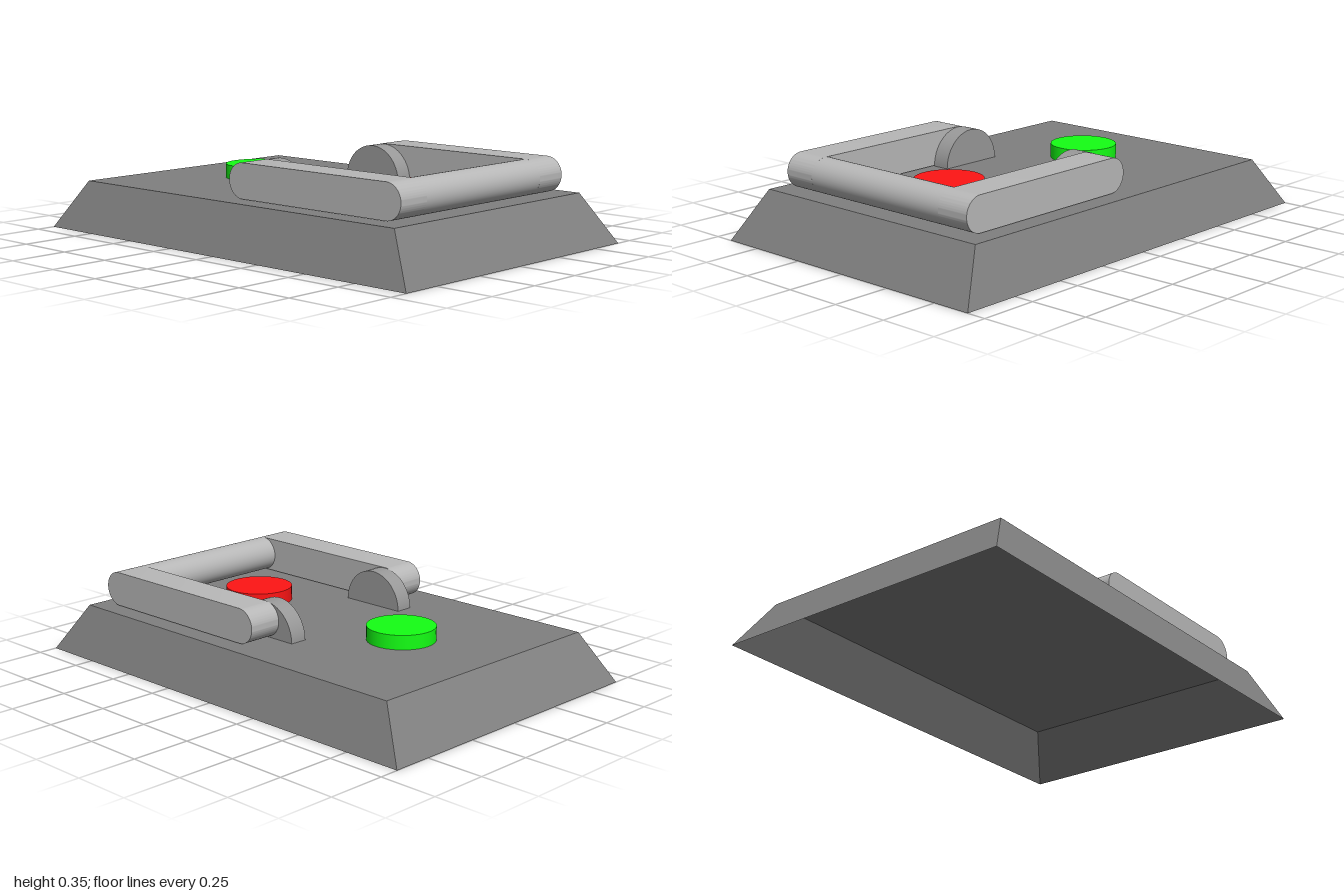
import * as THREE from 'three';
import { mergeGeometries, toCreasedNormals } from 'three/addons/utils/BufferGeometryUtils.js';

const TOP = 0.205;       // height of the base plate
const R = 0.073;         // handle bar radius
const BAR_Y = 0.282;     // handle axis height
const BAR_Z = 0.757;     // grip position
const ARM_IN = 0.353, ARM_OUT = 0.5;

function addMesh(parent, name, geometry, color, side = THREE.FrontSide) {
  const mesh = new THREE.Mesh(geometry, new THREE.MeshStandardMaterial({ color, side }));
  mesh.name = name;
  parent.add(mesh);
  return mesh;
}

// Extrudes a (z, y) profile along x, centred on x = 0
function sideExtrude(shape, width) {
  const geo = new THREE.ExtrudeGeometry(shape, { depth: width, bevelEnabled: false, curveSegments: 24 });
  geo.translate(0, 0, -width / 2).rotateY(-Math.PI / 2);
  return toCreasedNormals(geo, 0.6);
}

export function createModel() {
  const group = new THREE.Group();

  // Base: tapered shell with a flat top, open underneath
  const walls = new THREE.CylinderGeometry(0.865 * Math.SQRT2, Math.SQRT2, TOP, 4, 1, true);
  walls.rotateY(Math.PI / 4).scale(0.667, 1, 1).translate(0, TOP / 2, 0);
  const plate = new THREE.PlaneGeometry(2 * 0.577, 2 * 0.865);
  plate.rotateX(-Math.PI / 2).translate(0, TOP, 0);
  const base = toCreasedNormals(mergeGeometries([walls, plate]), 0.3);
  addMesh(group, 'base', base, 0x808080, THREE.DoubleSide);

  // Push buttons
  for (const [name, color, z] of [['redButton', 0xff1414, 0.415], ['greenButton', 0x14ff14, -0.415]]) {
    const button = addMesh(group, name, new THREE.CylinderGeometry(0.142, 0.142, 0.06, 40), color);
    button.position.set(0, TOP + 0.031, z);
  }

  // Half-round pivot lugs
  const lugShape = new THREE.Shape();
  lugShape.absarc(0, 0, 0.147, 0, Math.PI);
  const lugGeo = sideExtrude(lugShape, 0.076);

  // Round-ended handle arms
  const armShape = new THREE.Shape();
  armShape.absarc(BAR_Z, 0, R, -Math.PI / 2, Math.PI / 2);
  armShape.absarc(0, 0, R, Math.PI / 2, Math.PI * 1.5);
  const armGeo = sideExtrude(armShape, ARM_OUT - ARM_IN);

  const handle = new THREE.Group();
  handle.name = 'handle';
  group.add(handle);
  for (const [label, s] of [['left', 1], ['right', -1]]) {
    addMesh(group, label + 'PivotLug', lugGeo, 0x999999).position.set(s * 0.315, TOP + 0.001, 0);
    addMesh(handle, label + 'Arm', armGeo, 0xb8b8b8).position.set(s * (ARM_IN + ARM_OUT) / 2, BAR_Y, 0);
  }

  // Grip joining the arms
  const grip = new THREE.CylinderGeometry(R, R, 2 * ARM_IN, 48, 1, true).rotateZ(Math.PI / 2);
  addMesh(handle, 'grip', grip, 0xb8b8b8).position.set(0, BAR_Y, BAR_Z);

  return group;
}
